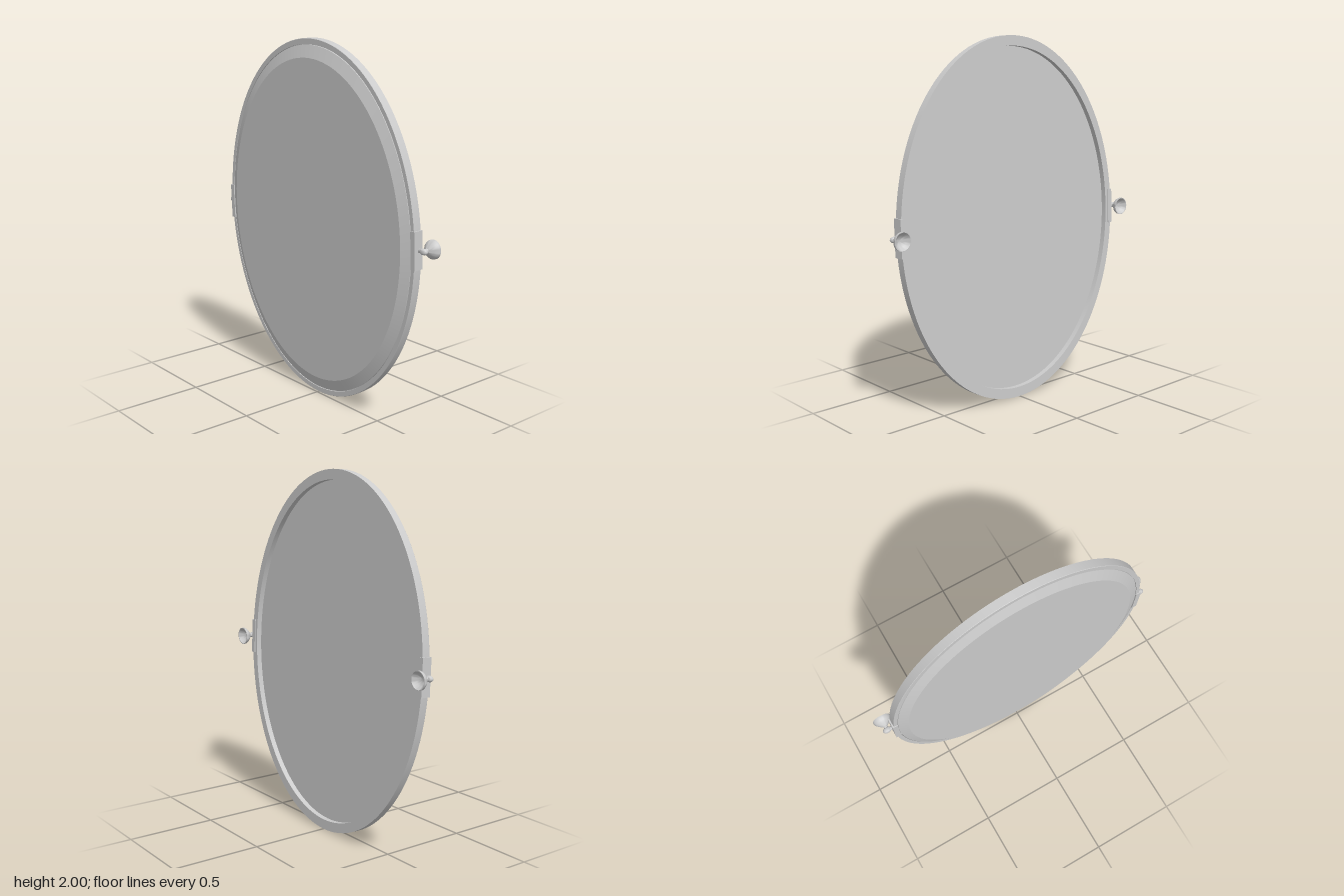
import * as THREE from 'three';
import { toCreasedNormals } from 'three/addons/utils/BufferGeometryUtils.js';

const RX = 0.77, RY = 1.0, SEGMENTS = 128;
const material = new THREE.MeshStandardMaterial({ color: 0xcccccc, side: THREE.DoubleSide });

function addMesh(parent, name, geometry) {
  const mesh = new THREE.Mesh(geometry, material);
  mesh.name = name;
  parent.add(mesh);
  return mesh;
}

// Sweeps a profile of [scale of the outer oval, z] around the oval;
// a scale of 0 is the centre. Runs front to back, outward first.
function ovalSweep(profile) {
  const pos = [];
  const point = ([scale, z], j) => {
    const t = (j % SEGMENTS) / SEGMENTS * Math.PI * 2;
    return [RX * scale * Math.cos(t), RY * scale * Math.sin(t), z];
  };
  for (let i = 0; i < profile.length - 1; i++) {
    const p = profile[i], q = profile[i + 1];
    for (let j = 0; j < SEGMENTS; j++) {
      const a = point(p, j), b = point(q, j), c = point(q, j + 1), d = point(p, j + 1);
      if (q[0] > 0) pos.push(...a, ...b, ...c);
      if (p[0] > 0) pos.push(...a, ...c, ...d);
    }
  }
  const geometry = new THREE.BufferGeometry();
  geometry.setAttribute('position', new THREE.Float32BufferAttribute(pos, 3));
  return toCreasedNormals(geometry, 0.2);
}

function lathe(points, segments) {
  const geometry = new THREE.LatheGeometry(points.map(p => new THREE.Vector2(...p)), segments);
  return toCreasedNormals(geometry, 0.7);
}

// Pivot and wall mount on one side
function createMount(side) {
  const mount = new THREE.Group();
  mount.name = side > 0 ? 'leftMount' : 'rightMount';
  mount.position.y = 1;

  // Horizontal pivot pin with a rounded end
  const pin = addMesh(mount, 'pivotPin', lathe([
    [0, 0.76], [0.011, 0.76], [0.011, 0.784], [0.014, 0.788], [0.016, 0.795], [0.016, 0.806],
    [0.014, 0.815], [0.01, 0.821], [0.005, 0.825], [0, 0.826],
  ], 24));
  pin.rotation.z = -side * Math.PI / 2;
  pin.position.z = -0.006;

  // Flared hollow rosette with its neck, opening to the wall
  const rosette = addMesh(mount, 'wallRosette', lathe([
    [0, -0.044], [0.016, -0.047], [0.032, -0.058], [0.046, -0.079], [0.05, -0.079], [0.049, -0.066],
    [0.043, -0.056], [0.032, -0.045], [0.018, -0.034], [0.012, -0.03], [0.01, -0.006],
  ], 32));
  rosette.rotation.x = Math.PI / 2;
  rosette.position.x = side * 0.8;
  return mount;
}

export function createModel() {
  const model = new THREE.Group();
  model.name = 'tiltingOvalMirror';

  // Tilted mirror assembly, turning about the pivot height
  const mirror = new THREE.Group();
  mirror.name = 'tiltingMirror';
  mirror.position.y = 1;
  mirror.rotation.x = 0.035;
  model.add(mirror);

  addMesh(mirror, 'bevelledGlass', ovalSweep([
    [0, 0.047], [0.9, 0.047], [0.966, 0.024], [0.966, 0.015],
  ]));
  // Rim with a narrow groove around the glass and a deep lip at the back
  addMesh(mirror, 'frame', ovalSweep([
    [0.966, 0.016], [0.97, 0.016], [0.97, 0.024], [0.998, 0.024], [1, 0.022],
    [1, -0.022], [0.945, -0.022], [0.945, 0.008],
  ]));
  addMesh(mirror, 'backPanel', ovalSweep([[0.945, 0.008], [0, 0.008]]));

  for (const side of [-1, 1]) {
    // Side bracket wrapped on the frame edge
    const bracket = addMesh(mirror, side > 0 ? 'leftBracket' : 'rightBracket',
      new THREE.BoxGeometry(0.029, 0.2, 0.056));
    bracket.position.set(side * 0.7595, 0, 0.001);
    model.add(createMount(side));
  }
  return model;
}
